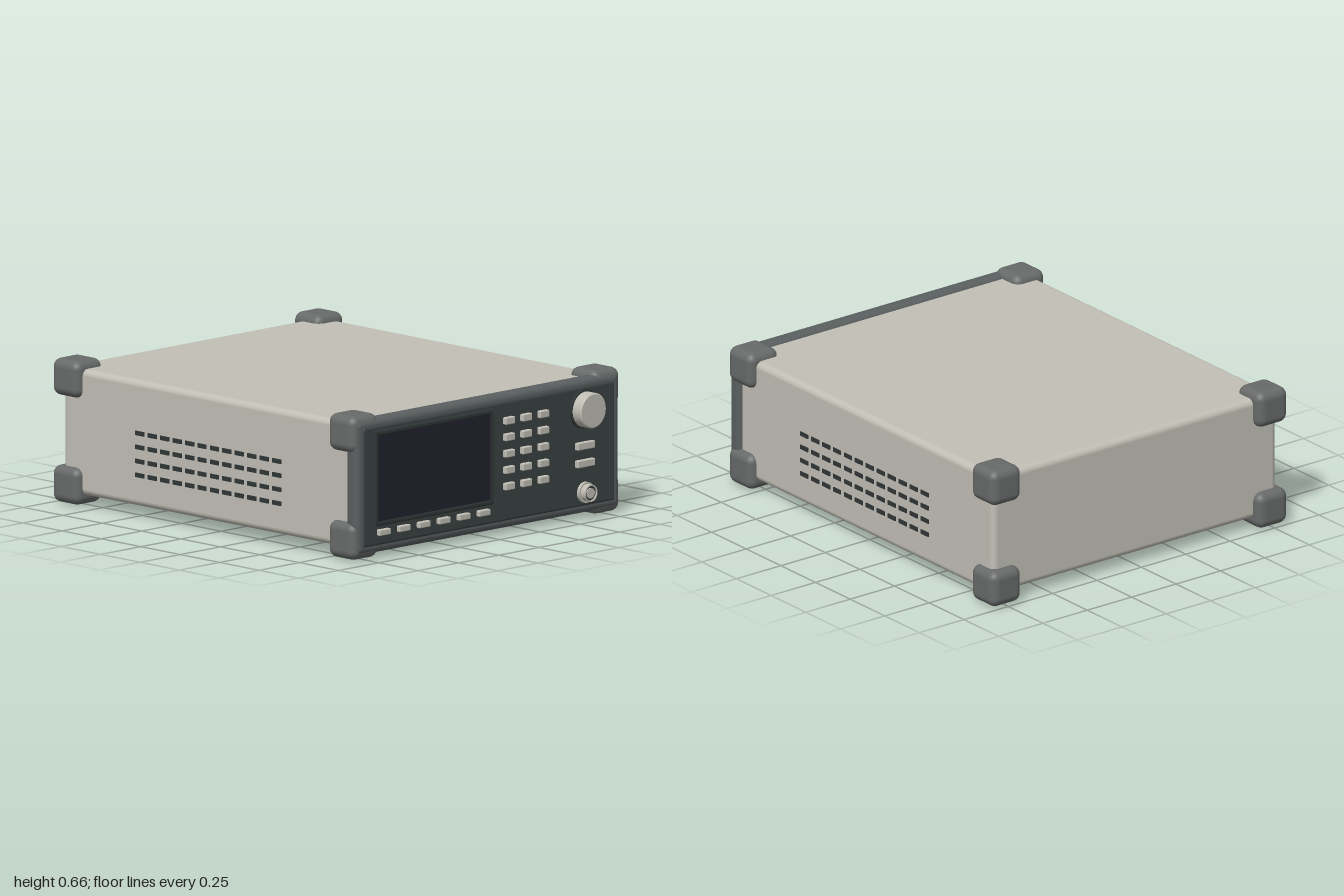
import * as THREE from 'three';
import { RoundedBoxGeometry } from 'three/addons/geometries/RoundedBoxGeometry.js';

const material = (name, color) => {
  const m = new THREE.MeshStandardMaterial({ color });
  m.name = name;
  return m;
};

export function createModel() {
  const root = new THREE.Group();
  root.name = 'benchInstrument';

  const beige = material('warm grey', 0xc1bfb5);
  const bumperGrey = material('bumper grey', 0x686a6a);
  const frameGrey = material('frame grey', 0x5a5f60);
  const panelDark = material('panel charcoal', 0x3b4343);
  const trimDark = material('trim charcoal', 0x303636);
  const screenBlue = material('screen blue black', 0x22222e);

  const add = (name, geometry, mat, x, y, z, parent = root) => {
    const mesh = new THREE.Mesh(geometry, mat);
    mesh.name = name;
    mesh.position.set(x, y, z);
    parent.add(mesh);
    return mesh;
  };
  const group = (name) => {
    const g = new THREE.Group();
    g.name = name;
    root.add(g);
    return g;
  };
  // Rounded block given by its limits on each axis
  const block = (name, mat, [x0, x1], [y0, y1], [z0, z1], r, parent = root) =>
    add(name, new RoundedBoxGeometry(x1 - x0, y1 - y0, z1 - z0, 4, r), mat,
      (x0 + x1) / 2, (y0 + y1) / 2, (z0 + z1) / 2, parent);
  // Surface of revolution turned to face +z
  const turned = (name, mat, profile, x, y, z, sides = 48, parent = root) => {
    const points = profile.map(([r, h]) => new THREE.Vector2(r, h));
    const flat = [];
    // each profile step gets its own strip, so edges stay sharp
    for (let i = 0; i < points.length - 1; i++) {
      flat.push(add(name, new THREE.LatheGeometry([points[i], points[i + 1]], sides), mat, x, y, z, parent));
    }
    flat.forEach((m) => { m.rotation.x = Math.PI / 2; });
  };

  // Case and front frame
  block('case', beige, [-0.8, 0.8], [0.05, 0.62], [-0.955, 0.88], 0.03);
  block('frontFrame', frameGrey, [-0.818, 0.818], [0.025, 0.636], [0.853, 0.93], 0.03);
  block('frontPanel', panelDark, [-0.782, 0.782], [0.06, 0.602], [0.9, 0.936], 0.012);

  // Corner bumpers
  const bumpers = group('cornerBumpers');
  const bumperGeo = new RoundedBoxGeometry(0.17, 0.168, 0.172, 5, 0.04);
  for (const x of [-0.75, 0.75]) for (const y of [0.088, 0.572]) for (const z of [-0.914, 0.838]) {
    add('cornerBumper', bumperGeo, bumperGrey, x, y, z, bumpers);
  }

  // Feet
  const feet = group('feet');
  const footGeo = new RoundedBoxGeometry(0.15, 0.07, 0.172, 2, 0.014);
  for (const x of [-0.535, 0.535]) for (const z of [-0.653, 0.575]) {
    add('foot', footGeo, trimDark, x, 0.035, z, feet);
  }

  // Side vents: four rows of twelve slots on both sides
  const vents = group('sideVents');
  const slotGeo = new THREE.BoxGeometry(0.009, 0.02, 0.055);
  for (const x of [-0.8, 0.8]) for (const y of [0.193, 0.256, 0.32, 0.383]) {
    for (let i = 0; i < 12; i++) add('ventSlot', slotGeo, trimDark, x, y, 0.405 - i * 0.079, vents);
  }

  // Screen with a raised surround
  const rect = (S, x0, x1, y0, y1) => {
    const s = new S();
    s.moveTo(x0, y0);
    s.lineTo(x1, y0);
    s.lineTo(x1, y1);
    s.lineTo(x0, y1);
    s.closePath();
    return s;
  };
  const surround = rect(THREE.Shape, -0.718, 0.009, 0.157, 0.576);
  surround.holes.push(rect(THREE.Path, -0.708, -0.001, 0.167, 0.566));
  add('screenSurround', new THREE.ExtrudeGeometry(surround, {
    depth: 0.015, bevelThickness: 0.006, bevelSize: 0.006, bevelSegments: 2,
  }), trimDark, 0, 0, 0.93);
  add('screen', new THREE.BoxGeometry(0.72, 0.41, 0.009), screenBlue, -0.354, 0.366, 0.943);

  // Buttons
  const buttons = group('buttons');
  const key = (name, x, y, w, h) =>
    block(name, beige, [x - w / 2, x + w / 2], [y - h / 2, y + h / 2], [0.93, 0.956], 0.005, buttons);
  for (let r = 0; r < 5; r++) {
    for (let c = 0; c < 3; c++) key('keypadKey', 0.114 + c * 0.106, 0.516 - r * 0.0743, 0.058, 0.033);
  }
  for (let i = 0; i < 6; i++) key('softKey', -0.665 + i * 0.124, 0.12, 0.07, 0.028);
  for (const y of [0.257, 0.337]) key('functionKey', 0.586, y, 0.108, 0.034);

  // Rotary knob on a dark collar
  const knob = group('knob');
  turned('knobCollar', trimDark, [[0.088, 0], [0.088, 0.015], [0, 0.015]], 0.586, 0.501, 0.932, 48, knob);
  turned('knobBody', beige, [[0.08, 0], [0.08, 0.056], [0.074, 0.062], [0, 0.062]], 0.586, 0.501, 0.938, 48, knob);

  // Coaxial jack: flange, hollow barrel and centre post
  const jack = group('jack');
  turned('jackFlange', beige, [[0.047, 0], [0.047, 0.018], [0.034, 0.018]], 0.59, 0.124, 0.934, 32, jack);
  turned('jackBarrel', beige, [[0.039, 0], [0.039, 0.046], [0.034, 0.046], [0.034, 0.01]], 0.59, 0.124, 0.934, 32, jack);
  turned('jackInsulator', trimDark, [[0.034, 0.038], [0, 0.038]], 0.59, 0.124, 0.934, 32, jack);
  turned('jackPost', beige, [[0.024, 0.03], [0.024, 0.044], [0, 0.044]], 0.59, 0.124, 0.934, 24, jack);

  return root;
}
